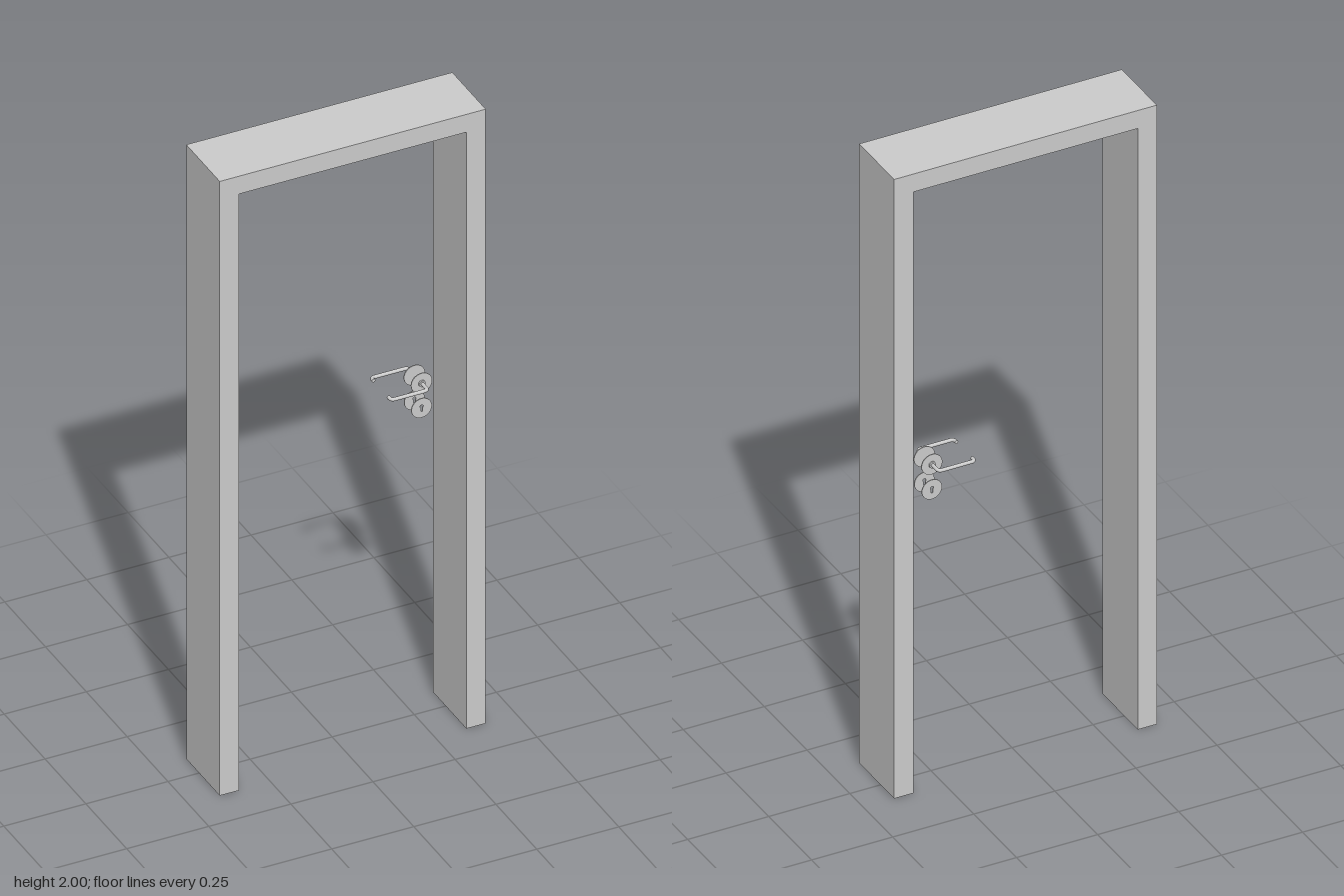
import * as THREE from 'three';

const material = new THREE.MeshStandardMaterial({ color: 0xcccccc });

function part(name, geometry, parent) {
  const mesh = new THREE.Mesh(geometry, material);
  mesh.name = name;
  parent.add(mesh);
  return mesh;
}

// U-shaped door frame, open at the floor
function frameGeometry() {
  const w = 0.405, inner = 0.346, top = 2, innerTop = 1.942;
  const shape = new THREE.Shape([
    [-w, 0], [-inner, 0], [-inner, innerTop], [inner, innerTop],
    [inner, 0], [w, 0], [w, top], [-w, top],
  ].map(([x, y]) => new THREE.Vector2(x, y)));
  return new THREE.ExtrudeGeometry(shape, { depth: 0.205, bevelEnabled: false });
}

// Round cover plate with a keyhole through it
function keyPlateGeometry(radius, depth) {
  const shape = new THREE.Shape().absarc(0, 0, radius, 0, Math.PI * 2);
  const hole = new THREE.Path();
  hole.absarc(0, 0.005, 0.005, -Math.PI / 3, Math.PI * 4 / 3);
  hole.lineTo(-0.0025, -0.011);
  hole.lineTo(0.0025, -0.011);
  hole.closePath();
  shape.holes.push(hole);
  return new THREE.ExtrudeGeometry(shape, { depth, bevelEnabled: false, curveSegments: 20 });
}

// Polyline with rounded corners
function roundedPath(points, r) {
  const path = new THREE.CurvePath();
  let from = points[0];
  for (let i = 1; i < points.length - 1; i++) {
    const p = points[i];
    const a = p.clone().add(points[i - 1].clone().sub(p).setLength(r));
    const b = p.clone().add(points[i + 1].clone().sub(p).setLength(r));
    path.add(new THREE.LineCurve3(from, a));
    path.add(new THREE.QuadraticBezierCurve3(a, p, b));
    from = b;
  }
  path.add(new THREE.LineCurve3(from, points[points.length - 1]));
  return path;
}

// One side's lever, rose and key plate; s is the outward z direction
function handleSet(name, s) {
  const set = new THREE.Group();
  set.name = name;
  const plate = 0.003, bar = 0.0055, reach = 0.0415, length = -0.112, tip = 0.025;

  const disc = (label, radius, depth) => {
    const mesh = part(label, new THREE.CylinderGeometry(radius, radius, depth, 40), set);
    mesh.rotation.x = Math.PI / 2;
    mesh.position.z = s * depth / 2;
  };
  disc('handleRose', 0.032, plate);
  disc('handleCollar', 0.01, 0.008);

  const key = part('keyPlate', keyPlateGeometry(0.031, plate), set);
  key.position.set(0, -0.081, s > 0 ? 0 : -plate);

  // Lever: stem out, along, and back towards the door
  const points = [[0, 0], [0, reach], [length, reach], [length, tip]]
    .map(([x, z]) => new THREE.Vector3(x, 0, s * z));
  part('lever', new THREE.TubeGeometry(roundedPath(points, 0.012), 90, bar, 16), set);
  const cap = part('leverEnd', new THREE.CircleGeometry(bar, 16), set);
  cap.position.set(length, 0, s * tip);
  if (s > 0) cap.rotation.y = Math.PI;
  return set;
}

export function createModel() {
  const model = new THREE.Group();
  model.name = 'doorFrame';

  part('frame', frameGeometry(), model).position.z = -0.079;

  // Handle sets on the two faces of the open leaf space
  for (const [name, s, z] of [['frontHandle', 1, -0.038], ['backHandle', -1, -0.079]]) {
    const set = handleSet(name, s);
    set.position.set(0.29, 1.047, z);
    model.add(set);
  }
  return model;
}
